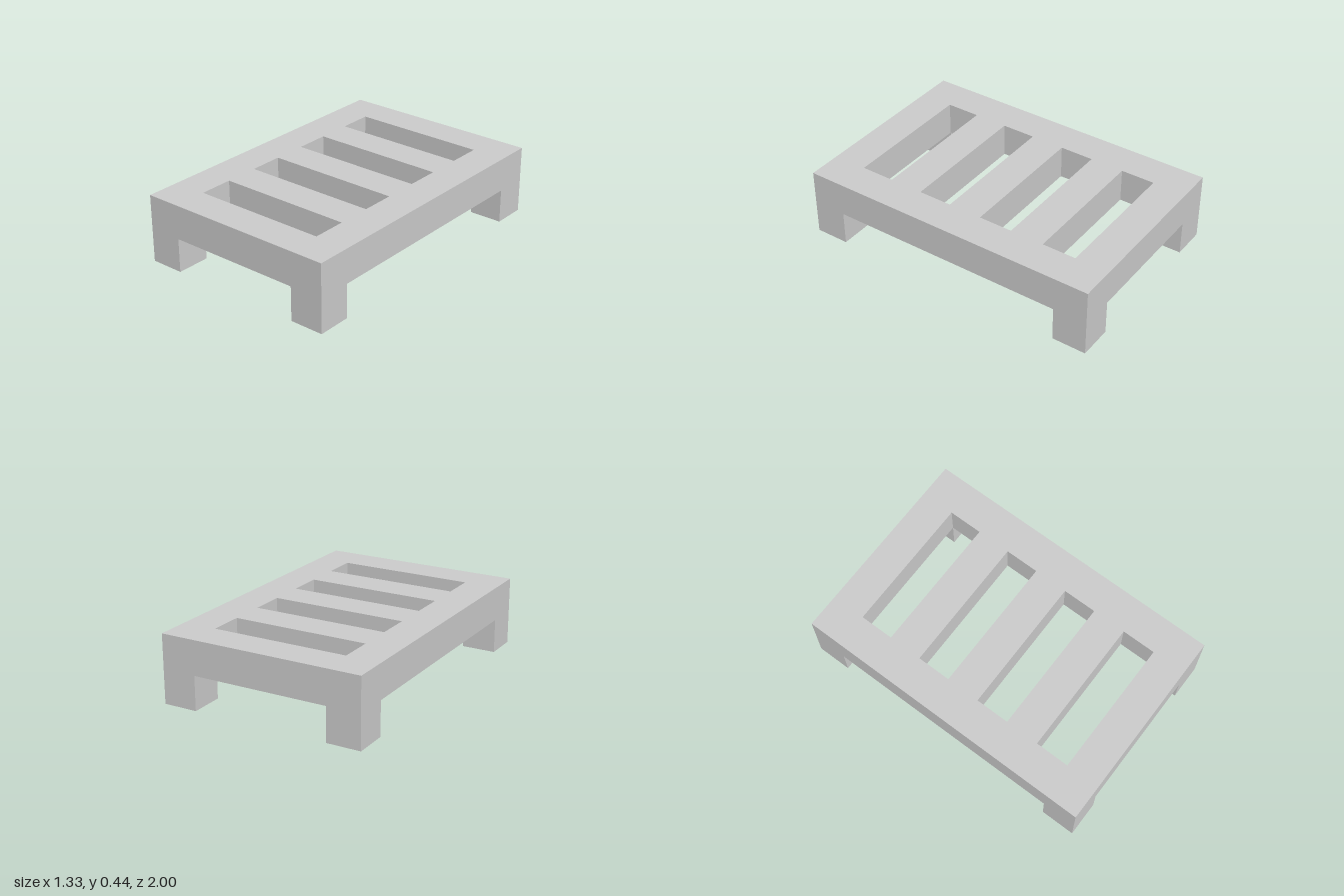
import * as THREE from 'three';

const U = 2 / 9; // module: leg width, slab thickness, slot width and slat width
const HALF_W = 3 * U;
const HALF_L = 4.5 * U;

// Adds a closed rectangle to a shape or path
function rect(path, x0, y0, x1, y1) {
  path.moveTo(x0, y0);
  path.lineTo(x1, y0);
  path.lineTo(x1, y1);
  path.lineTo(x0, y1);
  path.closePath();
  return path;
}

export function createModel() {
  const model = new THREE.Group();
  model.name = 'slattedPlatform';
  const material = new THREE.MeshStandardMaterial({ color: 0xcccccc, flatShading: true });

  // Slab with four evenly spaced slots
  const outline = rect(new THREE.Shape(), -HALF_W, -HALF_L, HALF_W, HALF_L);
  for (let i = 0; i < 4; i++) {
    const start = -HALF_L + (1 + 2 * i) * U;
    outline.holes.push(rect(new THREE.Path(), -2 * U, start, 2 * U, start + U));
  }
  const slab = new THREE.ExtrudeGeometry(outline, { depth: U, bevelEnabled: false });
  slab.rotateX(-Math.PI / 2);
  const top = new THREE.Mesh(slab, material);
  top.name = 'slattedTop';
  top.position.y = U;
  model.add(top);

  // Square legs flush with the four corners
  const legGeometry = new THREE.BoxGeometry(U, U, U);
  for (const [side, sx] of [['Left', 1], ['Right', -1]]) {
    for (const [end, sz] of [['front', 1], ['back', -1]]) {
      const leg = new THREE.Mesh(legGeometry, material);
      leg.name = `${end}${side}Leg`;
      leg.position.set(sx * (HALF_W - U / 2), U / 2, sz * (HALF_L - U / 2));
      model.add(leg);
    }
  }
  return model;
}
